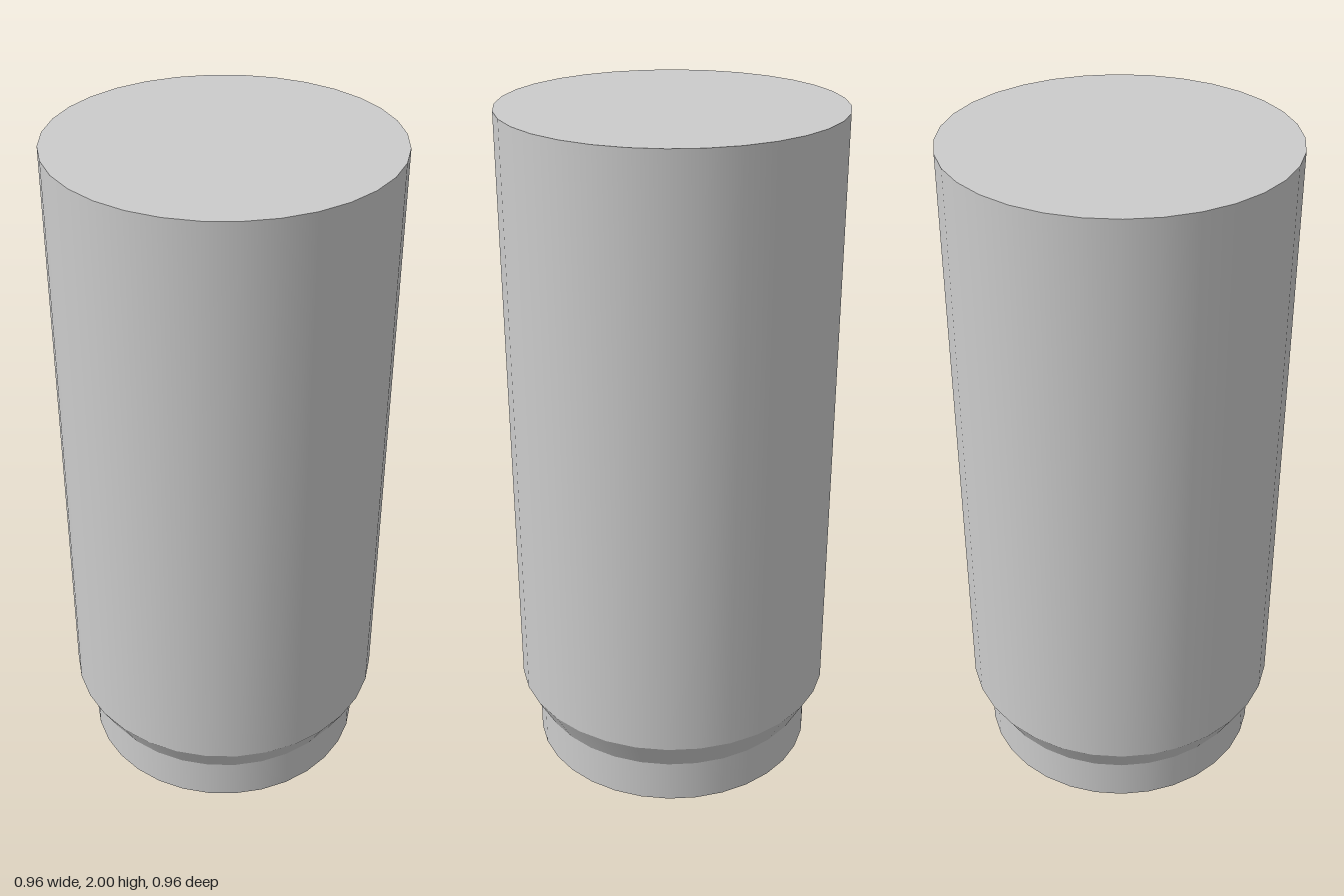
import * as THREE from 'three';

const SIDES = 32;
const TURN = -0.02; // slight rotation of the facets about the axis

export function createModel() {
  const group = new THREE.Group();
  group.name = 'steppedCylinder';
  const material = new THREE.MeshStandardMaterial({ color: 0xcccccc });

  const add = (name, geometry, y) => {
    const mesh = new THREE.Mesh(geometry, material);
    mesh.name = name;
    mesh.position.y = y;
    group.add(mesh);
    return mesh;
  };

  // Open wall sections: name, bottom radius, top radius, bottom y, top y
  const sections = [
    ['baseNeck', 0.428, 0.428, 0, 0.13],
    ['bevelCollar', 0.428, 0.48, 0.13, 0.225],
    ['mainBody', 0.48, 0.48, 0.225, 2],
  ];
  for (const [name, rBottom, rTop, y0, y1] of sections) {
    add(name, new THREE.CylinderGeometry(rTop, rBottom, y1 - y0, SIDES, 1, true, TURN), (y0 + y1) / 2);
  }

  // Flat end discs, with rim corners matched to the walls
  add('topCap', new THREE.CircleGeometry(0.48, SIDES, -TURN).rotateX(-Math.PI / 2).rotateY(2 * TURN), 2);
  add('bottomCap', new THREE.CircleGeometry(0.428, SIDES, -TURN).rotateX(Math.PI / 2), 0);

  return group;
}
